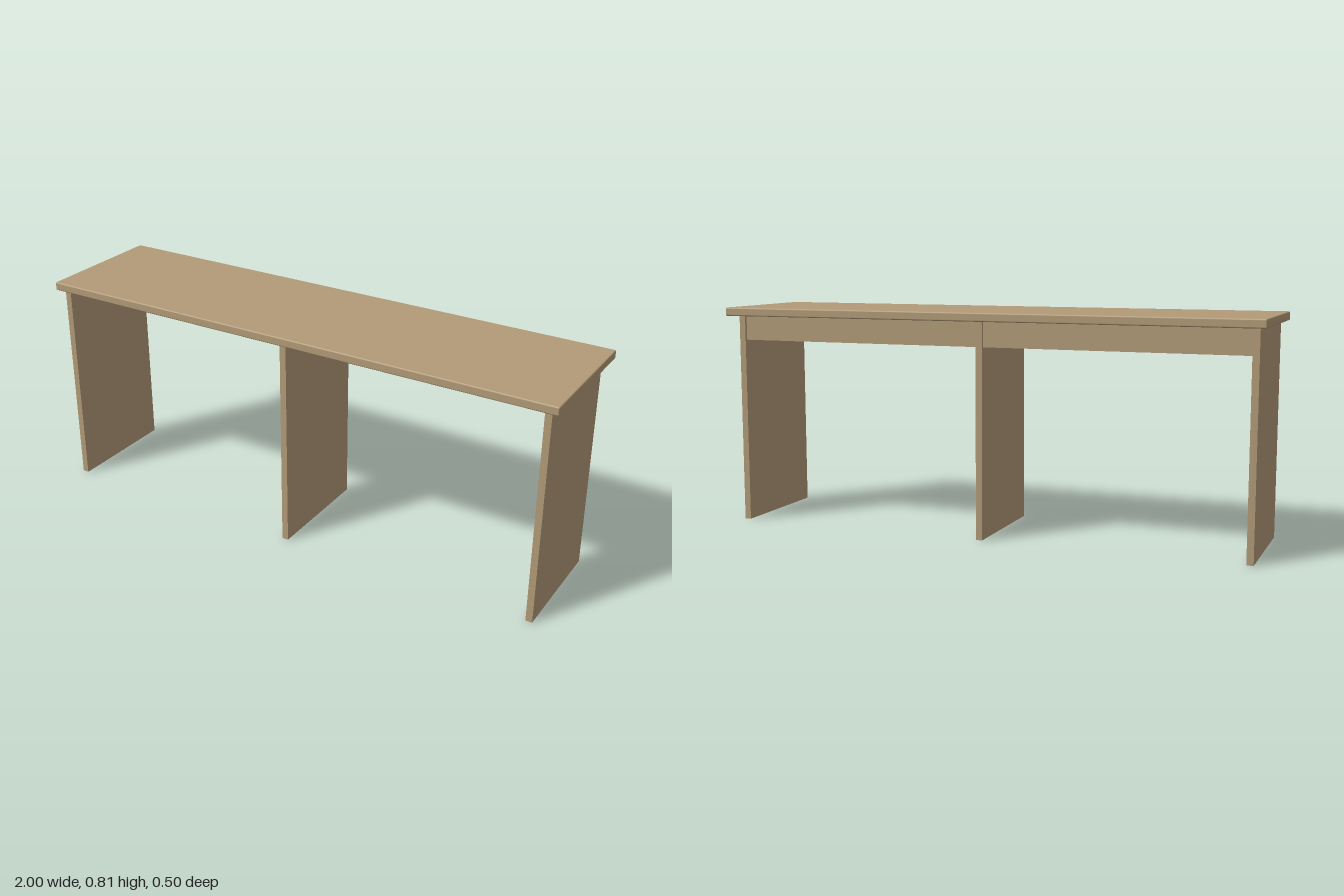
import * as THREE from 'three';
import { RoundedBoxGeometry } from 'three/addons/geometries/RoundedBoxGeometry.js';

export function createModel() {
  const group = new THREE.Group();
  group.name = 'bench';
  const wood = new THREE.MeshStandardMaterial({ color: 0xb29b78 });
  wood.name = 'light wood';

  const add = (name, geometry, x, y, z) => {
    const mesh = new THREE.Mesh(geometry, wood);
    mesh.name = name;
    mesh.position.set(x, y, z);
    group.add(mesh);
  };

  const topBottom = 0.78, topThick = 0.031;
  const panelThick = 0.024, panelBack = -0.199, panelFront = 0.228;
  const outerX = 0.96;

  // Long top with softened edges
  add('top', new RoundedBoxGeometry(2, topThick, 0.5, 3, 0.005), 0, topBottom + topThick / 2, 0);

  // Three upright panels
  const panel = new THREE.BoxGeometry(panelThick, topBottom, panelFront - panelBack);
  const panelZ = (panelFront + panelBack) / 2;
  add('rightPanel', panel, -outerX, topBottom / 2, panelZ);
  add('middlePanel', panel, 0, topBottom / 2, panelZ);
  add('leftPanel', panel, outerX, topBottom / 2, panelZ);

  // Two rails under the top, set in slightly from the panels' back edges
  const railHeight = 0.092, railThick = 0.022, recess = 0.01;
  const rail = new THREE.BoxGeometry(outerX - panelThick, railHeight, railThick);
  for (const [name, side] of [['rightRail', -1], ['leftRail', 1]]) {
    add(name, rail, side * outerX / 2, topBottom - railHeight / 2, panelBack + recess + railThick / 2);
  }

  return group;
}
